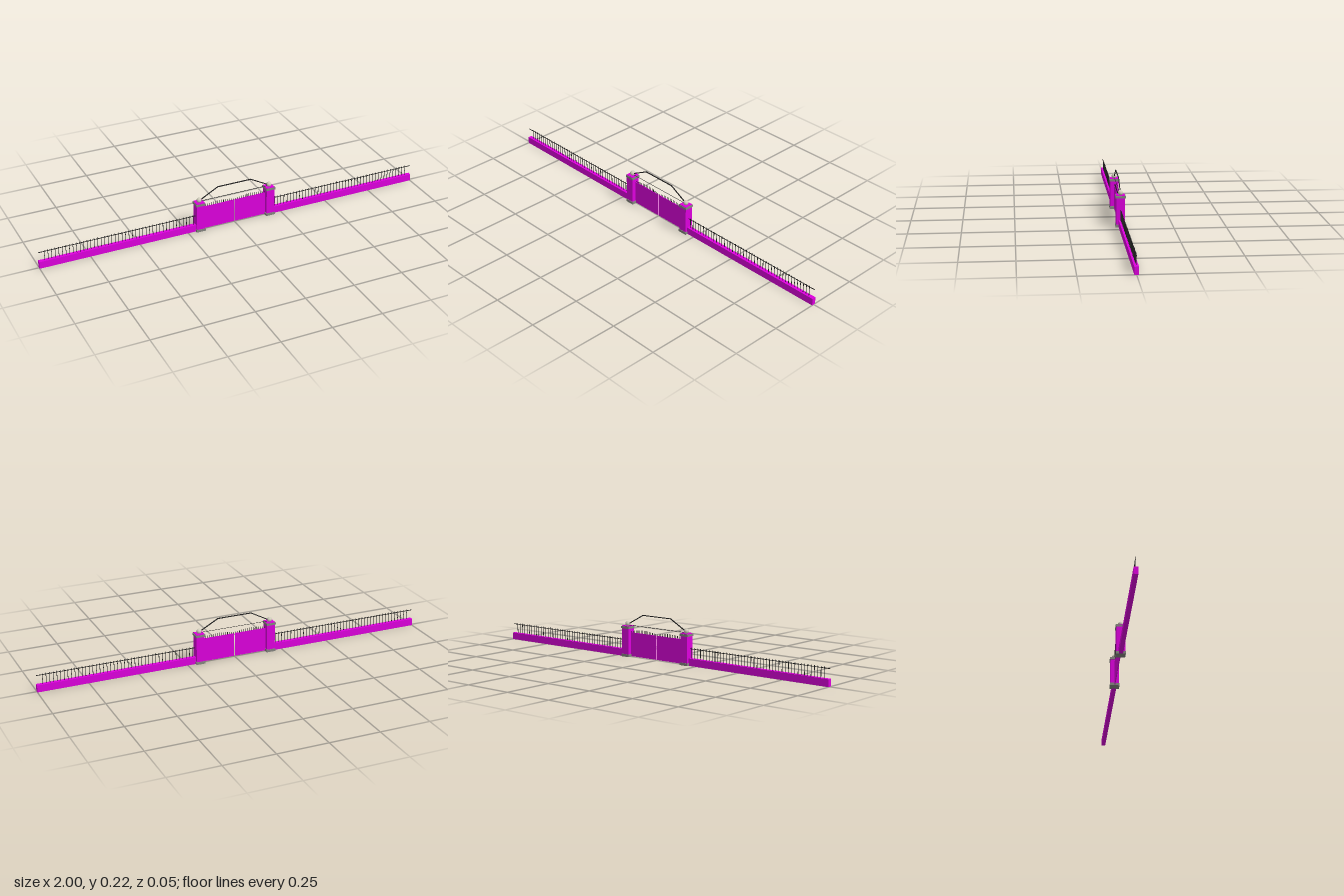
import * as THREE from 'three';

const mat = (color) => new THREE.MeshStandardMaterial({ color });

export function createModel() {
  const root = new THREE.Group();
  const paint = mat(0xdd00dd), stone = mat(0x858580), iron = mat(0x222222), pale = mat(0xd0ccbb);

  const add = (parent, name, geometry, material, x, y, z = 0) => {
    const mesh = new THREE.Mesh(geometry, material);
    mesh.name = name;
    mesh.position.set(x, y, z);
    parent.add(mesh);
    return mesh;
  };
  // Box given by its centre x, bottom and top
  const box = (parent, name, material, x, y0, y1, w, d) =>
    add(parent, name, new THREE.BoxGeometry(w, y1 - y0, d), material, x, (y0 + y1) / 2);
  // Thin square bar between two points in the z = 0 plane
  const bar = (parent, name, a, b, t) => {
    const dx = b[0] - a[0], dy = b[1] - a[1];
    const mesh = add(parent, name, new THREE.BoxGeometry(Math.hypot(dx, dy) + t, t, t), iron,
      (a[0] + b[0]) / 2, (a[1] + b[1]) / 2);
    mesh.rotation.z = Math.atan2(dy, dx);
  };

  for (const s of [-1, 1]) {
    const side = s > 0 ? 'left' : 'right';

    // Pillar with base block, cap slab and ball
    const pillar = new THREE.Group();
    pillar.name = side + 'Pillar';
    pillar.position.x = s * 0.187;
    box(pillar, 'pillarShaft', paint, 0, 0.001, 0.155, 0.042, 0.042);
    box(pillar, 'pillarBase', stone, 0, 0, 0.013, 0.047, 0.047);
    box(pillar, 'pillarCap', stone, 0, 0.141, 0.152, 0.048, 0.048);
    add(pillar, 'pillarBall', new THREE.SphereGeometry(0.0125, 24, 16), pale, 0, 0.164);
    root.add(pillar);

    // Low wall with a picket fence on top
    const fence = new THREE.Group();
    fence.name = side + 'Fence';
    box(fence, 'wall', paint, s * 0.604, 0, 0.035, 0.792, 0.02);
    box(fence, 'fenceRail', iron, s * 0.604, 0.08, 0.083, 0.792, 0.002);
    const pickets = 44;
    for (let i = 0; i < pickets; i++) {
      const x = s * (0.22 + (0.75 * i) / (pickets - 1));
      box(fence, 'picket', iron, x, 0.035, 0.0875, 0.002, 0.002);
    }
    root.add(fence);

    // Gate leaf with a curved row of spikes
    const gate = new THREE.Group();
    gate.name = side + 'GateLeaf';
    box(gate, 'gatePanel', paint, s * 0.0845, 0.003, 0.122, 0.164, 0.004);
    const spikes = 16;
    for (let i = 0; i < spikes; i++) {
      const u = i / (spikes - 1);
      const top = 0.129 + 0.009 * Math.sin(Math.PI * u);
      box(gate, 'gateSpike', iron, s * (0.006 + 0.156 * u), 0.12, top, 0.002, 0.002);
    }
    root.add(gate);
  }

  // Overhead arch of straight bars, with a thin tie rod
  const arch = new THREE.Group();
  arch.name = 'arch';
  const path = [[-0.18, 0.164], [-0.088, 0.214], [0.088, 0.214], [0.18, 0.164]];
  for (let i = 0; i < 3; i++) bar(arch, 'archBar', path[i], path[i + 1], 0.004);
  bar(arch, 'tieRod', [-0.18, 0.157], [0.18, 0.157], 0.0015);
  root.add(arch);

  return root;
}
